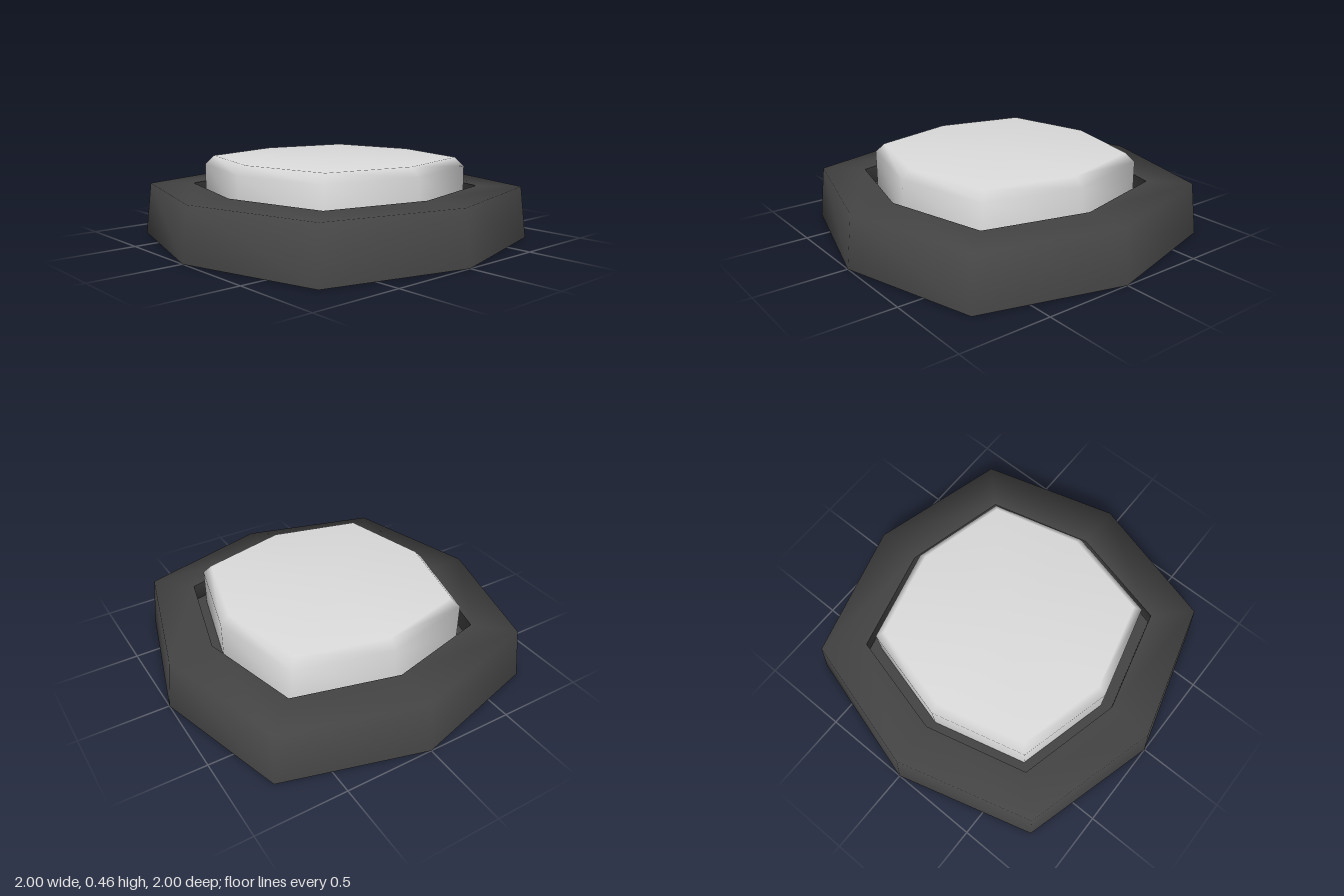
import * as THREE from 'three';
import { mergeVertices } from 'three/addons/utils/BufferGeometryUtils.js';

// Eight-sided ring surface from a profile of [radius, height, diagonal reach];
// the diagonal corners lie at x = z = diagonal reach. Normals are smooth.
function octagonSurface(profile) {
  const lathe = new THREE.LatheGeometry(profile.map(([r, y]) => new THREE.Vector2(r, y)), 8);
  const pos = lathe.attributes.position;
  const n = profile.length;
  for (let i = 0; i < pos.count; i++) {
    const [r, , d] = profile[i % n];
    if (Math.floor(i / n) % 2 === 1 && r > 0) {
      pos.setX(i, Math.sign(pos.getX(i)) * d);
      pos.setZ(i, Math.sign(pos.getZ(i)) * d);
    }
  }
  lathe.deleteAttribute('uv');
  lathe.deleteAttribute('normal');
  const geometry = mergeVertices(lathe, 1e-4);
  geometry.computeVertexNormals();
  return geometry;
}

export function createModel() {
  const model = new THREE.Group();
  model.name = 'pushButton';

  const darkPlastic = new THREE.MeshStandardMaterial({ color: 0x444444 });
  darkPlastic.name = 'dark plastic';
  const lightPlastic = new THREE.MeshStandardMaterial({ color: 0xdddddd });
  lightPlastic.name = 'light plastic';

  const add = (name, material, profile) => {
    const mesh = new THREE.Mesh(octagonSurface(profile), material);
    mesh.name = name;
    model.add(mesh);
  };

  // Housing: tapered side flowing into the rim, with a recess for the cap
  add('housingUnderside', darkPlastic, [[0, 0, 0], [1, 0, 0.78]]);
  add('housingRim', darkPlastic, [[1, 0, 0.78], [0.965, 0.295, 0.755], [0.72, 0.298, 0.575]]);
  add('recessWall', darkPlastic, [[0.72, 0.298, 0.575], [0.72, 0.2, 0.575]]);
  add('recessFloor', darkPlastic, [[0.72, 0.2, 0.575], [0, 0.2, 0]]);

  // Cap with a chamfered, softly shaded top edge
  add('buttonCap', lightPlastic, [
    [0.66, 0.2, 0.525], [0.66, 0.41, 0.525], [0.61, 0.46, 0.488], [0, 0.46, 0],
  ]);

  return model;
}
